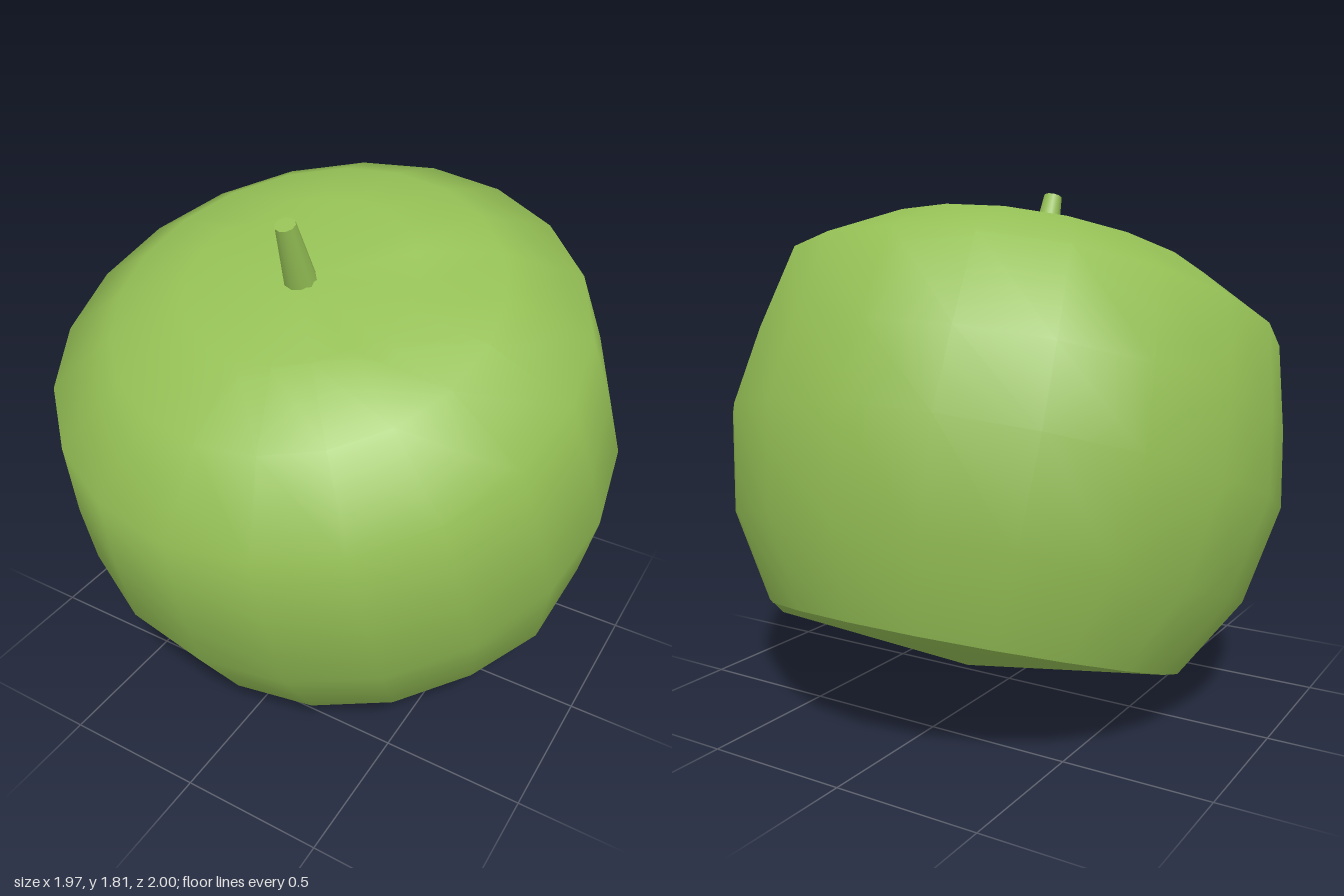
import * as THREE from 'three';
import { mergeVertices } from 'three/addons/utils/BufferGeometryUtils.js';

const SIDES = 20;
const green = new THREE.MeshStandardMaterial({ color: 0x94bf55, roughness: 0.9 });

// Turned shape with a seamless smooth surface; dip(ring, side) lowers single vertices
function turned(profile, dip) {
  const points = profile.map(([r, y]) => new THREE.Vector2(r, y));
  let geo = new THREE.LatheGeometry(points, SIDES);
  const pos = geo.attributes.position;
  for (let i = 0; i < pos.count; i++) {
    const ring = i % points.length;
    const side = Math.floor(i / points.length) % SIDES;
    pos.setY(i, pos.getY(i) - dip(ring, side));
  }
  geo.deleteAttribute('uv');
  geo.deleteAttribute('normal');
  geo = mergeVertices(geo, 1e-4);
  geo.computeVertexNormals();
  return geo;
}

function part(name, geo) {
  const mesh = new THREE.Mesh(geo, green);
  mesh.name = name;
  return mesh;
}

export function createModel() {
  const group = new THREE.Group();
  group.name = 'apple';

  // The whole fruit leans forward on the rim of its flat base
  const fruit = new THREE.Group();
  fruit.name = 'leaningFruit';
  fruit.rotation.x = THREE.MathUtils.degToRad(20);
  fruit.position.set(0, 0.107, -0.296);
  group.add(fruit);

  // Uneven base rim, and creases running out from the stem
  const rimDip = (side) => ([4, 6].includes(side) ? 0.05 : 0);
  const creaseDip = (side) => ([4, 6, 13].includes(side) ? 0.045 : 0);

  const skin = [
    [0.726, 0.147], [0.904, 0.425], [0.985, 0.765], [0.955, 1.03],
    [0.9, 1.33], [0.646, 1.5], [0.382, 1.586], [0, 1.575],
  ];
  fruit.add(part('body', turned(skin, (ring, side) =>
    ring <= 1 ? rimDip(side) : ring === 6 ? creaseDip(side) : 0)));

  // Shallow cone closing the underside
  fruit.add(part('base', turned([[0, 0.04], [0.726, 0.147]], (ring, side) =>
    ring === 1 ? rimDip(side) : 0)));

  // Tapered stem
  const stem = part('stem', new THREE.CylinderGeometry(0.034, 0.056, 0.24, 10));
  stem.position.y = 1.675;
  fruit.add(stem);

  return group;
}
